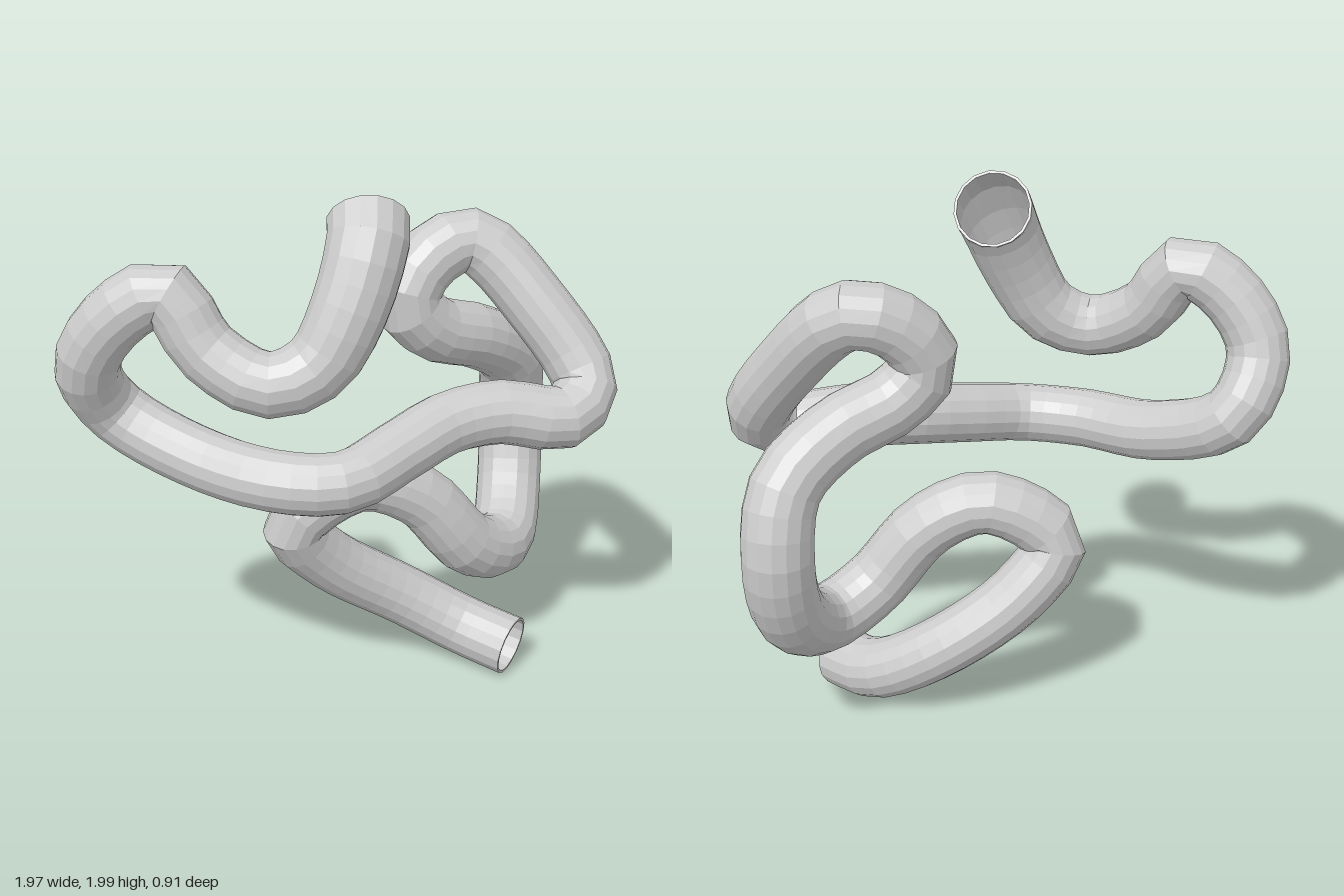
import * as THREE from 'three';

// Centre line of the pipe from the upper to the lower opening: x, y, z, radius
const PATH = [
  [0.02, 1.89, 0.19, 0.138], [0.0, 1.85, 0.245, 0.138], [-0.09, 1.64, 0.305, 0.13],
  [-0.2, 1.46, 0.305, 0.12], [-0.36, 1.40, 0.27, 0.112], [-0.53, 1.50, 0.15, 0.11],
  [-0.64, 1.685, 0.06, 0.112], [-0.79, 1.6, -0.01, 0.112], [-0.88, 1.41, -0.09, 0.112],
  [-0.78, 1.2, -0.155, 0.112], [-0.56, 1.07, 0.03, 0.11], [-0.33, 1.035, 0.26, 0.108],
  [-0.12, 1.035, 0.345, 0.108], [0.1, 1.08, 0.28, 0.11], [0.32, 1.125, 0.21, 0.112],
  [0.52, 1.135, 0.21, 0.115], [0.76, 1.1, 0.26, 0.116], [0.87, 1.18, 0.19, 0.118],
  [0.75, 1.44, 0.02, 0.118], [0.55, 1.66, -0.14, 0.118], [0.38, 1.6, -0.145, 0.118],
  [0.305, 1.47, -0.13, 0.12], [0.4, 1.35, -0.135, 0.12], [0.62, 1.26, -0.19, 0.122],
  [0.8, 1.12, -0.28, 0.125], [0.845, 0.88, -0.34, 0.125], [0.81, 0.6, -0.25, 0.126],
  [0.68, 0.45, -0.05, 0.125], [0.5, 0.52, 0.04, 0.122], [0.29, 0.76, 0.03, 0.118],
  [0.07, 0.845, 0.0, 0.116], [-0.165, 0.69, -0.045, 0.118], [-0.03, 0.5, -0.08, 0.116],
  [0.28, 0.28, -0.065, 0.115], [0.5, 0.15, 0.04, 0.115], [0.625, 0.122, 0.195, 0.115],
];
const SEGMENTS = 110;
const SIDES = 16;
const WALL = 0.01;

// Closed strip of quads between successive rings of points
function skin(rings, flip) {
  const pos = [], idx = [];
  const w = SIDES;
  rings.forEach(ring => ring.forEach(p => pos.push(p.x, p.y, p.z)));
  for (let i = 0; i < rings.length - 1; i++) {
    for (let j = 0; j < w; j++) {
      const a = i * w + j, b = i * w + (j + 1) % w, c = a + w, d = b + w;
      if (flip) idx.push(a, c, b, b, c, d);
      else idx.push(a, b, c, b, d, c);
    }
  }
  const g = new THREE.BufferGeometry();
  g.setAttribute('position', new THREE.Float32BufferAttribute(pos, 3));
  g.setIndex(idx);
  g.computeVertexNormals();
  return g;
}

export function createModel() {
  const group = new THREE.Group();
  group.name = 'twistedPipe';
  const material = new THREE.MeshStandardMaterial({ color: 0xcccccc, flatShading: true });
  const rimMaterial = material.clone();
  rimMaterial.side = THREE.DoubleSide;

  const curve = new THREE.CatmullRomCurve3(PATH.map(p => new THREE.Vector3(p[0], p[1], p[2])));
  curve.arcLengthDivisions = 1000;
  const frames = curve.computeFrenetFrames(SEGMENTS, false);

  // Radius follows the same parameter as the centre line
  const radiusAt = u => {
    const t = curve.getUtoTmapping(u) * (PATH.length - 1);
    const i = Math.min(Math.floor(t), PATH.length - 2);
    return THREE.MathUtils.lerp(PATH[i][3], PATH[i + 1][3], t - i);
  };
  const makeRings = inset => Array.from({ length: SEGMENTS + 1 }, (_, i) => {
    const u = i / SEGMENTS, c = curve.getPointAt(u), r = radiusAt(u) - inset;
    return Array.from({ length: SIDES }, (_, j) => {
      const a = (j / SIDES) * Math.PI * 2;
      return c.clone()
        .addScaledVector(frames.normals[i], Math.cos(a) * r)
        .addScaledVector(frames.binormals[i], Math.sin(a) * r);
    });
  });

  const add = (name, geometry, mat) => {
    const mesh = new THREE.Mesh(geometry, mat);
    mesh.name = name;
    group.add(mesh);
  };
  const outer = makeRings(0), inner = makeRings(WALL);
  add('outerWall', skin(outer, false), material);
  add('innerWall', skin(inner, true), material);
  // Thin rims joining both walls at the openings
  add('upperRim', skin([inner[0], outer[0]], false), rimMaterial);
  add('lowerRim', skin([outer[SEGMENTS], inner[SEGMENTS]], false), rimMaterial);
  return group;
}
